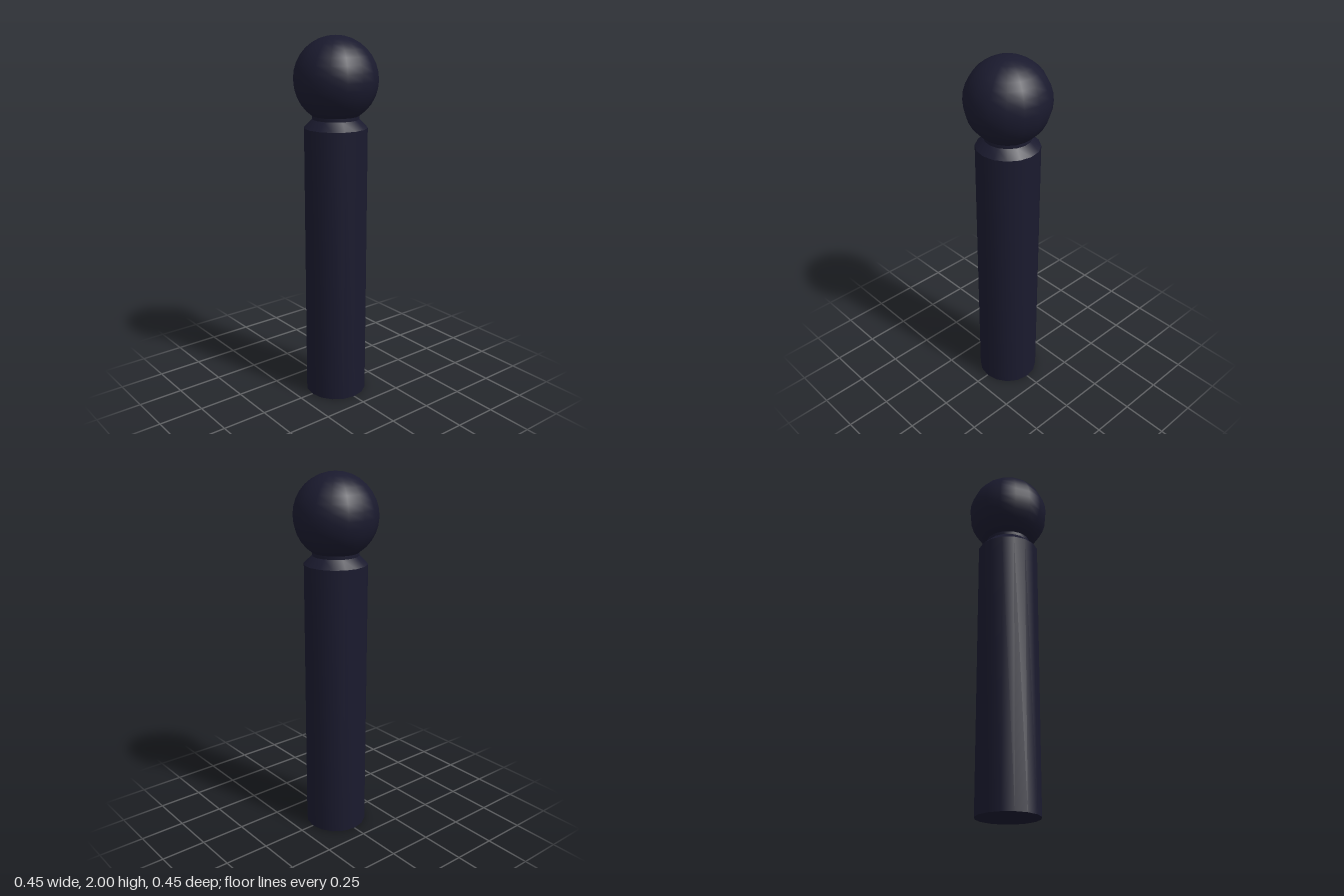
import * as THREE from 'three';
import { toCreasedNormals } from 'three/addons/utils/BufferGeometryUtils.js';

const SIDES = 16;

export function createModel() {
  const model = new THREE.Group();
  model.name = 'ballTopPost';
  const material = new THREE.MeshStandardMaterial({ color: 0x1a1a2e });

  const add = (name, geometry, y = 0) => {
    const mesh = new THREE.Mesh(geometry, material);
    mesh.name = name;
    mesh.position.y = y;
    model.add(mesh);
  };

  // Straight shaft, chamfered shoulder and short neck turned as one profile
  const profile = [
    [0, 0], [0.17, 0], [0.17, 1.525], [0.125, 1.57], [0.125, 1.605], [0, 1.605],
  ].map(([r, y]) => new THREE.Vector2(r, y));
  add('post', toCreasedNormals(new THREE.LatheGeometry(profile, SIDES), Math.PI / 6));

  // Ball finial
  add('ball', new THREE.SphereGeometry(0.225, SIDES, 16), 1.775);

  return model;
}
